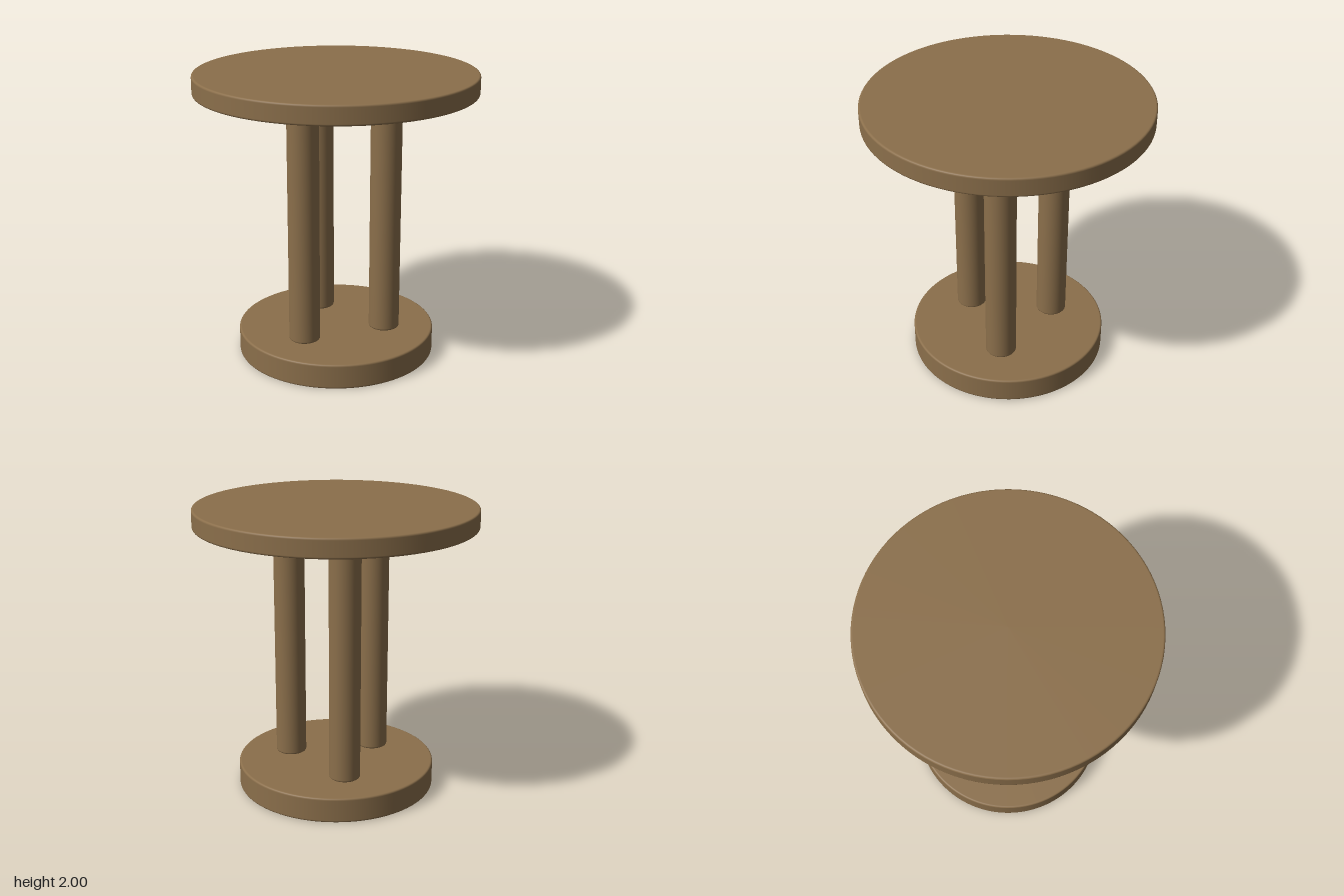
import * as THREE from 'three';

const wood = new THREE.MeshStandardMaterial({ color: 0x8b6f4b });
wood.name = 'wood';

// Solid disc or post from y0 to y1, with softly rounded rims
function roundedCylinder(name, radius, y0, y1, bevel) {
  const points = [new THREE.Vector2(0, y0), new THREE.Vector2(radius - bevel * 1.2, y0)];
  const steps = 4;
  for (const [cy, start] of [[y0 + bevel, -Math.PI / 2], [y1 - bevel, 0]]) {
    for (let i = 0; i <= steps; i++) {
      const a = start + (i / steps) * Math.PI / 2;
      points.push(new THREE.Vector2(radius - bevel + bevel * Math.cos(a), cy + bevel * Math.sin(a)));
    }
    // Support ring keeps the straight side evenly shaded
    if (start < 0) {
      points.push(new THREE.Vector2(radius, y0 + bevel * 1.2));
      points.push(new THREE.Vector2(radius, y1 - bevel * 1.2));
    }
  }
  points.push(new THREE.Vector2(radius - bevel * 1.2, y1), new THREE.Vector2(0, y1));
  const mesh = new THREE.Mesh(new THREE.LatheGeometry(points, 96), wood);
  mesh.name = name;
  return mesh;
}

export function createModel() {
  const table = new THREE.Group();
  table.name = 'pedestalTable';

  const baseTop = 0.175, topBottom = 1.87;
  table.add(roundedCylinder('base', 0.69, 0, baseTop, 0.012));
  table.add(roundedCylinder('tableTop', 0.96, topBottom, 2, 0.012));

  // Three posts, evenly spaced in a ring
  for (let i = 0; i < 3; i++) {
    const a = THREE.MathUtils.degToRad(-17 + i * 120);
    const post = roundedCylinder('post' + (i + 1), 0.107, baseTop, topBottom, 0.012);
    post.position.set(0.345 * Math.cos(a), 0, 0.345 * Math.sin(a));
    table.add(post);
  }
  return table;
}
